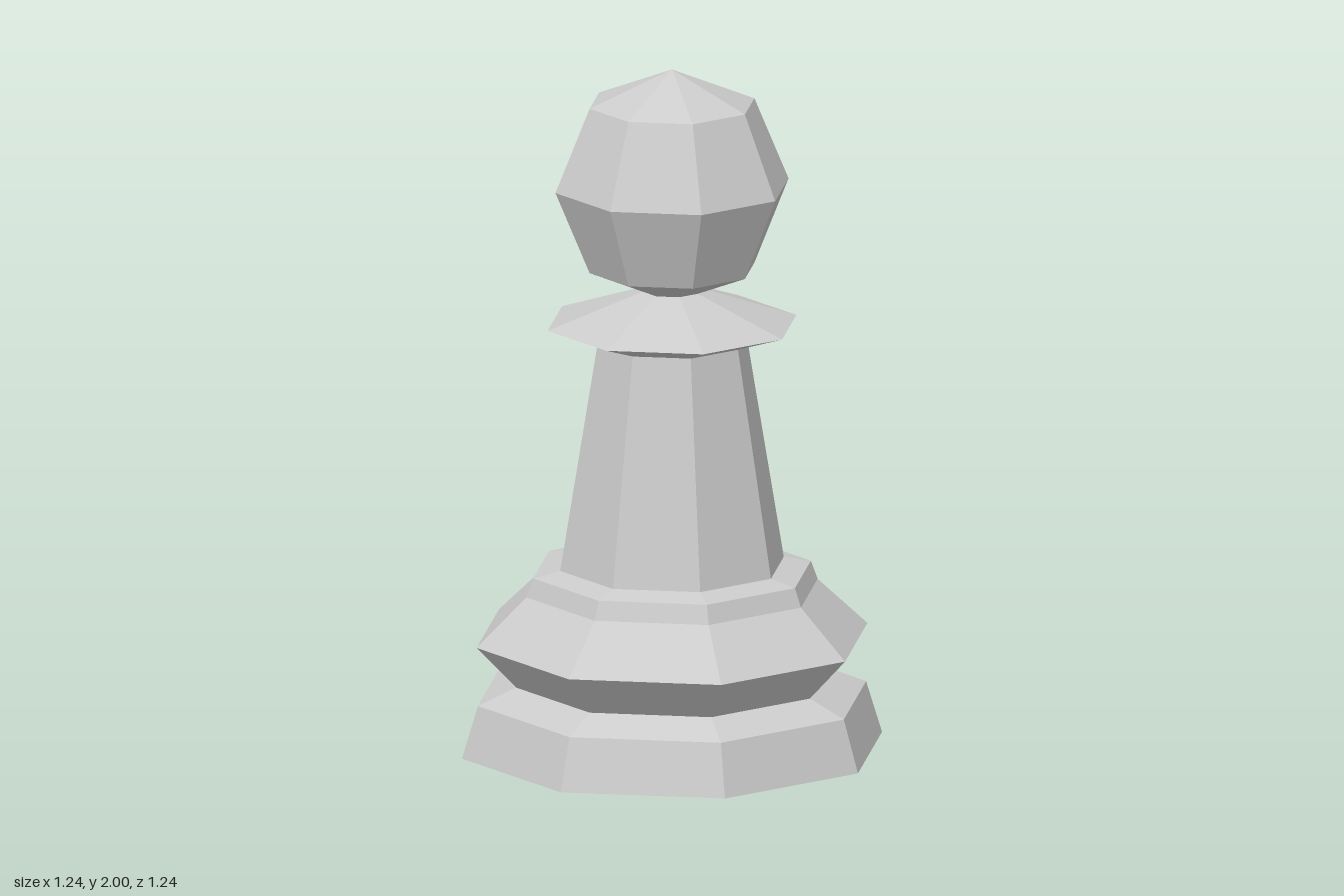
import * as THREE from 'three';

const SIDES = 8;

export function createModel() {
  const group = new THREE.Group();
  const material = new THREE.MeshStandardMaterial({ color: 0xcccccc, flatShading: true });

  const add = (name, geometry, y = 0) => {
    const mesh = new THREE.Mesh(geometry, material);
    mesh.name = name;
    mesh.position.y = y;
    group.add(mesh);
  };

  // Octagonal turned part from [radius, height] pairs, bottom to top
  const turned = (name, profile) =>
    add(name, new THREE.LatheGeometry(profile.map(([r, y]) => new THREE.Vector2(r, y)), SIDES));

  // Foot with sloping top, closed underneath
  turned('base', [[0, 0], [0.62, 0], [0.573, 0.153], [0.46, 0.2]]);

  // Flared ring above the foot
  turned('baseRing', [[0.46, 0.2], [0.577, 0.325], [0.43, 0.465], [0.41, 0.52], [0.33, 0.537]]);

  // Tapered shaft
  turned('stem', [[0.33, 0.537], [0.22, 1.2]]);

  // Thin sharp-edged collar
  turned('collar', [[0.22, 1.2], [0.367, 1.25], [0.08, 1.35], [0, 1.35]]);

  // Faceted ball
  add('head', new THREE.SphereGeometry(0.344, SIDES, 4), 1.656);

  return group;
}
